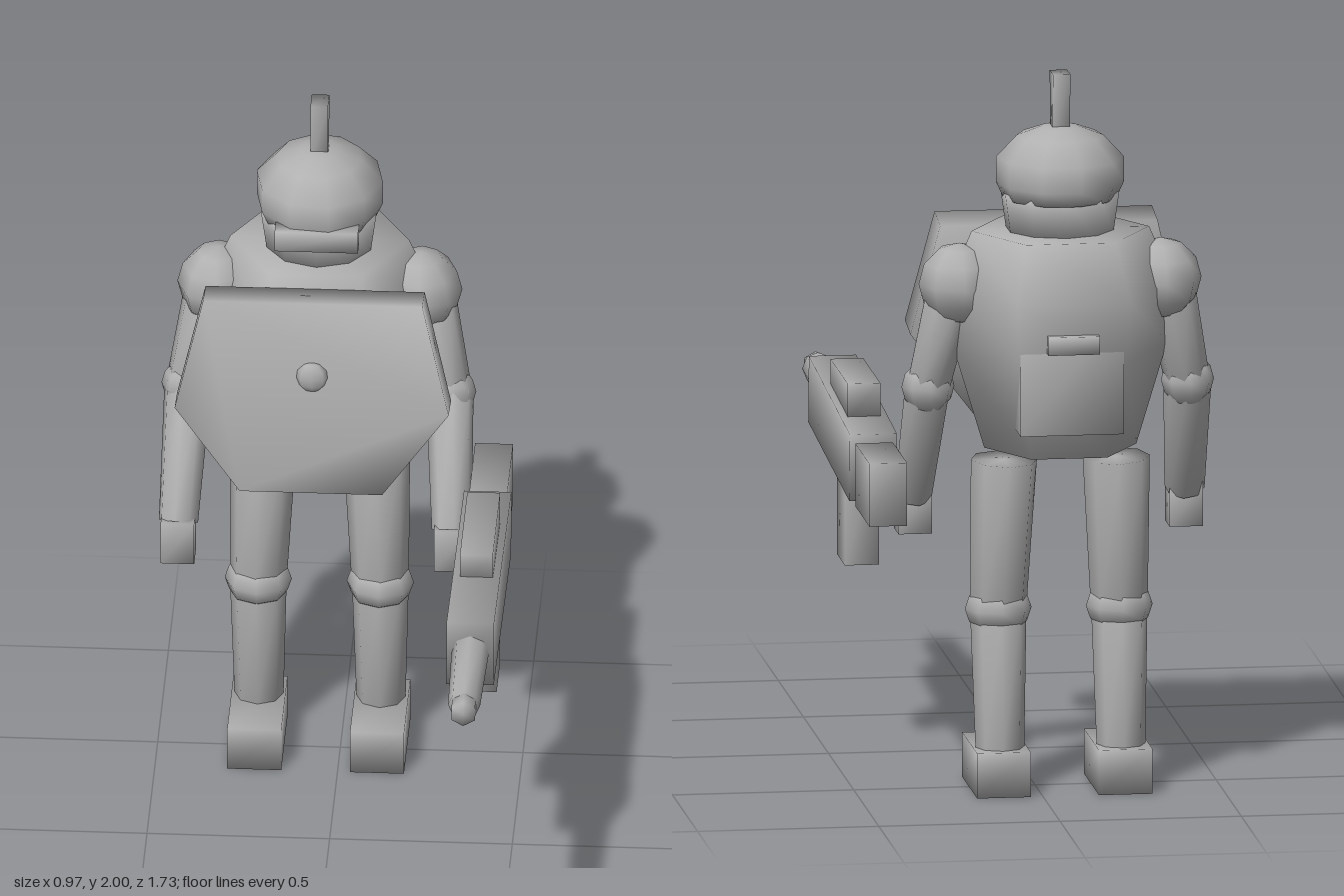
import * as THREE from 'three';
import { mergeVertices } from 'three/addons/utils/BufferGeometryUtils.js';

const CX = -0.06, CZ = -0.567; // body axis

export function createModel() {
  const model = new THREE.Group();
  model.name = 'robotSoldier';
  const grey = new THREE.MeshStandardMaterial({ color: 0xb0b0b0 });
  grey.name = 'plainGrey';

  // shares vertices so that shading runs smoothly over the low-poly shapes
  const smooth = (geo) => {
    geo.deleteAttribute('uv');
    geo.deleteAttribute('normal');
    const g = mergeVertices(geo, 1e-4);
    g.computeVertexNormals();
    return g;
  };
  const add = (name, geo, x = 0, y = 0, z = 0) => {
    const mesh = new THREE.Mesh(smooth(geo), grey);
    mesh.name = name;
    mesh.position.set(x, y, z);
    model.add(mesh);
    return mesh;
  };
  // box given by its limits on each axis
  const box = (name, x0, x1, y0, y1, z0, z1) => add(name,
    new THREE.BoxGeometry(x1 - x0, y1 - y0, z1 - z0), (x0 + x1) / 2, (y0 + y1) / 2, (z0 + z1) / 2);
  // tapered limb from point a to point b
  const limb = (name, a, b, ra, rb, sides = 8) => {
    const p = new THREE.Vector3(...a), q = new THREE.Vector3(...b);
    const dir = q.clone().sub(p);
    const mesh = add(name, new THREE.CylinderGeometry(rb, ra, dir.length(), sides));
    mesh.position.copy(p).lerp(q, 0.5);
    mesh.quaternion.setFromUnitVectors(new THREE.Vector3(0, 1, 0), dir.normalize());
    return mesh;
  };
  const lathe = (points, sides, start = 0) => new THREE.LatheGeometry(
    points.map(([r, y]) => new THREE.Vector2(r, y)), sides, start);

  // six-sided torso with its points to the sides
  add('torso', lathe([[0, 0.96], [0.21, 0.96], [0.295, 1.24], [0.312, 1.41], [0.245, 1.565], [0, 1.565]],
    6, Math.PI / 6), CX, 0, -0.572);
  box('backpack', -0.2, 0.085, 1.04, 1.4, -0.83, -0.65);
  box('backpackLatch', -0.13, 0.012, 1.27, 1.32, -0.86, -0.8);

  // head, helmet, visor bar and crest
  add('head', lathe([[0, 1.55], [0.148, 1.55], [0.165, 1.67], [0, 1.7]], 10), CX, 0, -0.56);
  add('helmet', lathe([[0, 1.655], [0.165, 1.655], [0.184, 1.695], [0.184, 1.765], [0.125, 1.825], [0.055, 1.85], [0, 1.855]],
    10, 0.2), CX, 0, -0.565).scale.x = 0.95;
  box('visor', -0.173, 0.055, 1.63, 1.69, -0.435, -0.38);
  const crest = new THREE.BoxGeometry(0.048, 0.18, 0.07);
  const cp = crest.attributes.position;
  for (let i = 0; i < cp.count; i++) if (cp.getY(i) < 0) cp.setZ(i, cp.getZ(i) * 0.55);
  add('crest', crest, CX, 1.91, -0.567);

  // mirrored arms and legs
  for (const s of [-1, 1]) {
    const side = s > 0 ? 'left' : 'right';
    const X = (d) => CX + s * d;
    add(side + 'Shoulder', new THREE.SphereGeometry(0.122, 8, 6), X(0.278), 1.42, CZ).scale.set(0.92, 0.92, 1);
    limb(side + 'UpperArm', [X(0.3), 1.4, CZ], [X(0.358), 1.12, -0.52], 0.072, 0.062);
    add(side + 'Elbow', new THREE.SphereGeometry(0.073, 8, 6), X(0.358), 1.125, -0.52);
    limb(side + 'Forearm', [X(0.358), 1.13, -0.52], [X(0.374), 0.79, -0.345], 0.066, 0.055);
    box(side + 'Hand', X(0.374) - 0.046, X(0.374) + 0.046, 0.685, 0.81, -0.383, -0.292);

    limb(side + 'Thigh', [X(0.155), 0.925, -0.567], [X(0.167), 0.5, -0.54], 0.092, 0.078);
    add(side + 'Knee', new THREE.SphereGeometry(0.092, 8, 6), X(0.167), 0.505, -0.54).scale.y = 0.8;
    limb(side + 'Shin', [X(0.167), 0.51, -0.54], [X(0.167), 0.11, -0.575], 0.078, 0.067);
    box(side + 'Foot', X(0.168) - 0.074, X(0.168) + 0.074, 0, 0.125, -0.663, -0.366);
  }

  // six-sided chest shield, tilted back at the top
  const outline = [[-0.3, 0.285], [-0.375, -0.03], [-0.195, -0.268], [0.195, -0.268], [0.375, -0.03], [0.3, 0.285]];
  const plate = new THREE.Shape(outline.map(([x, y]) => new THREE.Vector2(x, y)));
  const shieldGeo = new THREE.ExtrudeGeometry(plate, { depth: 0.115, bevelEnabled: false });
  shieldGeo.translate(0, 0, -0.0575);
  add('shield', shieldGeo, CX, 1.262, -0.243).rotation.x = -0.16;
  add('shieldBoss', new THREE.SphereGeometry(0.045, 8, 6), CX, 1.34, -0.2).scale.z = 0.5;

  // long gun at the left side
  const gx = 0.416;
  add('gunBody', new THREE.BoxGeometry(0.13, 0.187, 0.816), gx, 0.88, 0.128).rotation.x = -0.067;
  limb('gunBarrel', [gx, 0.91, 0.5], [gx, 0.907, 0.815], 0.052, 0.044);
  limb('gunMuzzle', [gx, 0.907, 0.8], [gx, 0.907, 0.865], 0.037, 0.037, 6);
  box('gunSight', gx - 0.045, gx + 0.045, 0.95, 1.05, -0.1, 0.244);
  box('gunMagazine', gx - 0.047, gx + 0.047, 0.535, 0.85, -0.058, 0.097);
  box('gunStock', gx - 0.052, gx + 0.052, 0.75, 0.925, -0.583, -0.3);

  return model;
}
